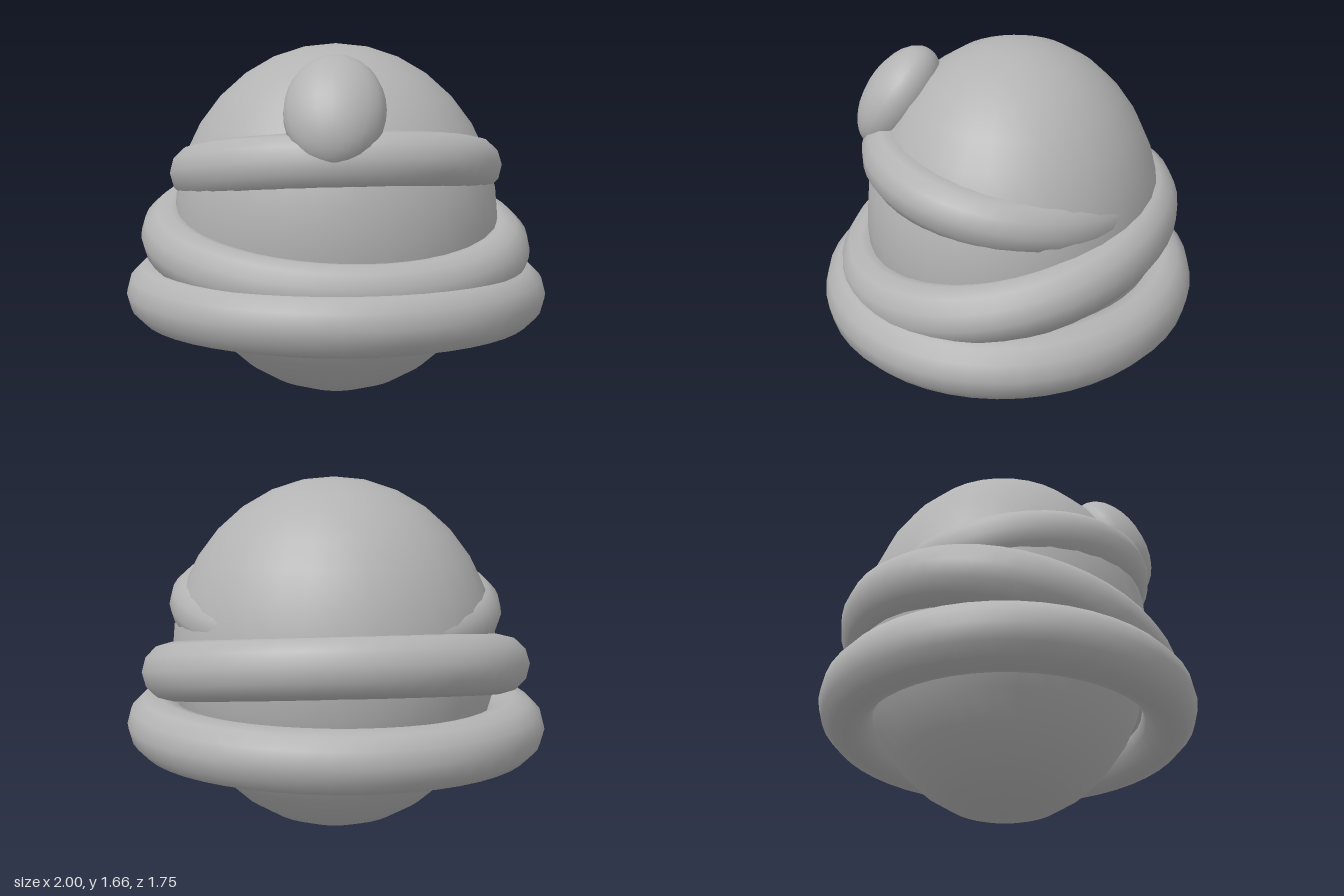
import * as THREE from 'three';

export function createModel() {
  const group = new THREE.Group();
  const grey = new THREE.MeshStandardMaterial({ color: 0xb3b3b3 });
  grey.name = 'plain grey';

  function add(name, geometry, position, rotation = [0, 0, 0]) {
    const mesh = new THREE.Mesh(geometry, grey);
    mesh.name = name;
    mesh.position.set(...position);
    mesh.rotation.set(...rotation);
    group.add(mesh);
  }

  // Round core, slightly flattened front to back
  add('core', new THREE.SphereGeometry(1, 32, 16).scale(0.77, 0.8325, 0.69), [0, 0.8325, -0.022]);

  // Oval wrapped bands, stacked and tilted in alternate directions
  const bands = [
    { name: 'lowerBand', radius: 0.853, tube: 0.147, y: 0.496, tilt: 0, roll: 0 },
    { name: 'middleBand', radius: 0.785, tube: 0.14, y: 0.753, tilt: 0.2, roll: -0.058 },
    { name: 'upperBand', radius: 0.655, tube: 0.13, y: 1.07, tilt: -0.185, roll: 0.046 },
  ];
  for (const b of bands) {
    const ring = new THREE.TorusGeometry(b.radius, b.tube, 12, 48);
    ring.rotateX(Math.PI / 2).scale(1, 1, 0.877);
    add(b.name, ring, [0, b.y, 0], [b.tilt, 0, b.roll]);
  }

  // Oval ornament leaning back against the front
  add('ornament', new THREE.SphereGeometry(1, 24, 16).scale(0.226, 0.268, 0.159),
    [0.053, 1.388, 0.505], [-0.55, 0, 0.05]);

  return group;
}
